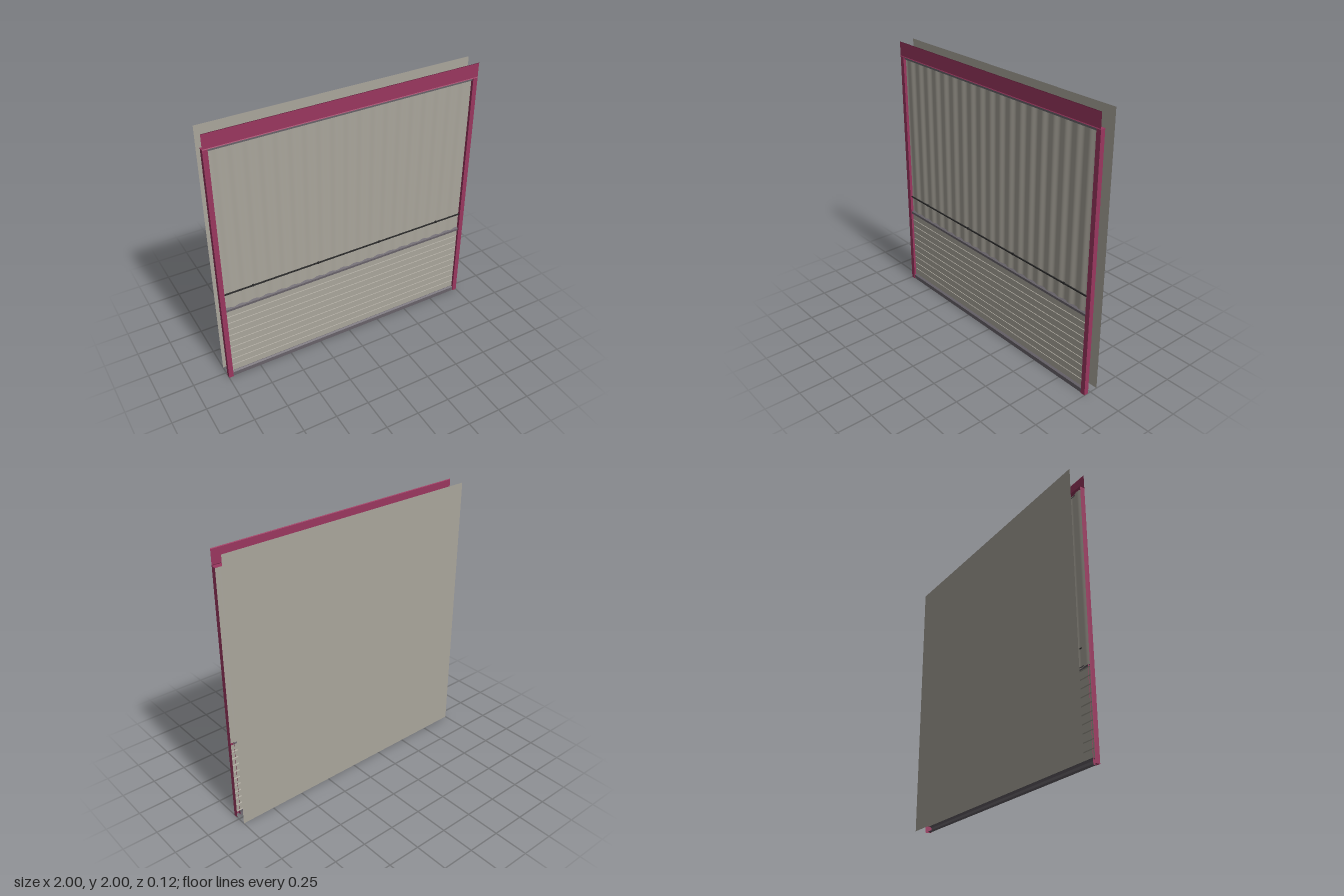
import * as THREE from 'three';

const mat = (name, color) => {
  const m = new THREE.MeshStandardMaterial({ color, side: THREE.DoubleSide });
  m.name = name;
  return m;
};

// Folded sheet: a polyline of [across, z] points swept along x or y, with crisp folds
function foldedSheet(points, from, to, axis) {
  const place = ([a, z], t) => (axis === 'x' ? [t, a, z] : [a, t, z]);
  const pos = [];
  for (let i = 0; i < points.length - 1; i++) {
    const p = place(points[i], from), q = place(points[i], to);
    const r = place(points[i + 1], to), s = place(points[i + 1], from);
    pos.push(...p, ...q, ...r, ...p, ...r, ...s);
  }
  const g = new THREE.BufferGeometry();
  g.setAttribute('position', new THREE.Float32BufferAttribute(pos, 3));
  g.computeVertexNormals();
  return g;
}

export function createModel() {
  const group = new THREE.Group();
  const cladding = mat('warm grey cladding', 0xaaa69c);
  const trim = mat('maroon trim', 0x9a375f);
  const flashing = mat('dark grey flashing', 0x68636a);
  const black = mat('black rail', 0x2b2b2b);

  const add = (name, geometry, material, x = 0, y = 0, z = 0) => {
    const mesh = new THREE.Mesh(geometry, material);
    mesh.name = name;
    mesh.position.set(x, y, z);
    group.add(mesh);
    return mesh;
  };

  // Flat inner liner at the back
  add('backLiner', new THREE.PlaneGeometry(2, 2), cladding, 0, 1, -0.06);

  // Upper sheet with soft vertical corrugations
  const upper = new THREE.PlaneGeometry(1.98, 1.265, 240, 1);
  const p = upper.attributes.position;
  for (let i = 0; i < p.count; i++) {
    p.setZ(i, 0.004 * Math.cos((p.getX(i) / 0.1) * Math.PI * 2));
  }
  upper.computeVertexNormals();
  add('corrugatedUpperPanel', upper, cladding, 0, 1.2525, 0.037);

  // Lower siding: ten courses separated by narrow grooves
  const courses = [];
  const pitch = 0.0565, bottom = 0.04;
  for (let i = 0; i < 10; i++) {
    const y = bottom + i * pitch;
    courses.push([y, 0.032], [y + 0.003, 0.04], [y + pitch - 0.003, 0.04], [y + pitch, 0.032]);
  }
  add('horizontalSiding', foldedSheet(courses, -0.99, 0.99, 'x'), cladding);

  // Folded flashings at the base, between the panels and under the header
  add('baseFlashing', foldedSheet(
    [[0, 0.022], [0, 0.052], [0.032, 0.052], [0.04, 0.04], [0.04, 0.03]], -0.97, 0.97, 'x'), flashing);
  add('middleFlashing', foldedSheet(
    [[0.605, 0.034], [0.605, 0.05], [0.622, 0.05], [0.63, 0.034]], -0.97, 0.97, 'x'), flashing);
  add('topFlashing', foldedSheet(
    [[1.872, 0.034], [1.872, 0.05], [1.889, 0.05]], -0.97, 0.97, 'x'), flashing);

  // Thin rail with four small joints
  add('rail', new THREE.BoxGeometry(1.93, 0.009, 0.008), black, 0, 0.755, 0.044);
  for (const x of [-0.75, -0.25, 0.25, 0.75]) {
    add('railJoint', new THREE.BoxGeometry(0.012, 0.015, 0.01), black, x, 0.756, 0.044);
  }

  // Folded side trims
  for (const s of [-1, 1]) {
    add(s > 0 ? 'leftSideTrim' : 'rightSideTrim', foldedSheet(
      [[s, 0.022], [s, 0.057], [s * 0.965, 0.057], [s * 0.965, 0.036]], 0, 1.89, 'y'), trim);
  }

  // Header fascia with a ledge below and a small lip on top
  add('headerFascia', foldedSheet(
    [[1.89, 0.018], [1.89, 0.06], [1.895, 0.057], [1.995, 0.057], [2, 0.06]], -1, 1, 'x'), trim);

  return group;
}
